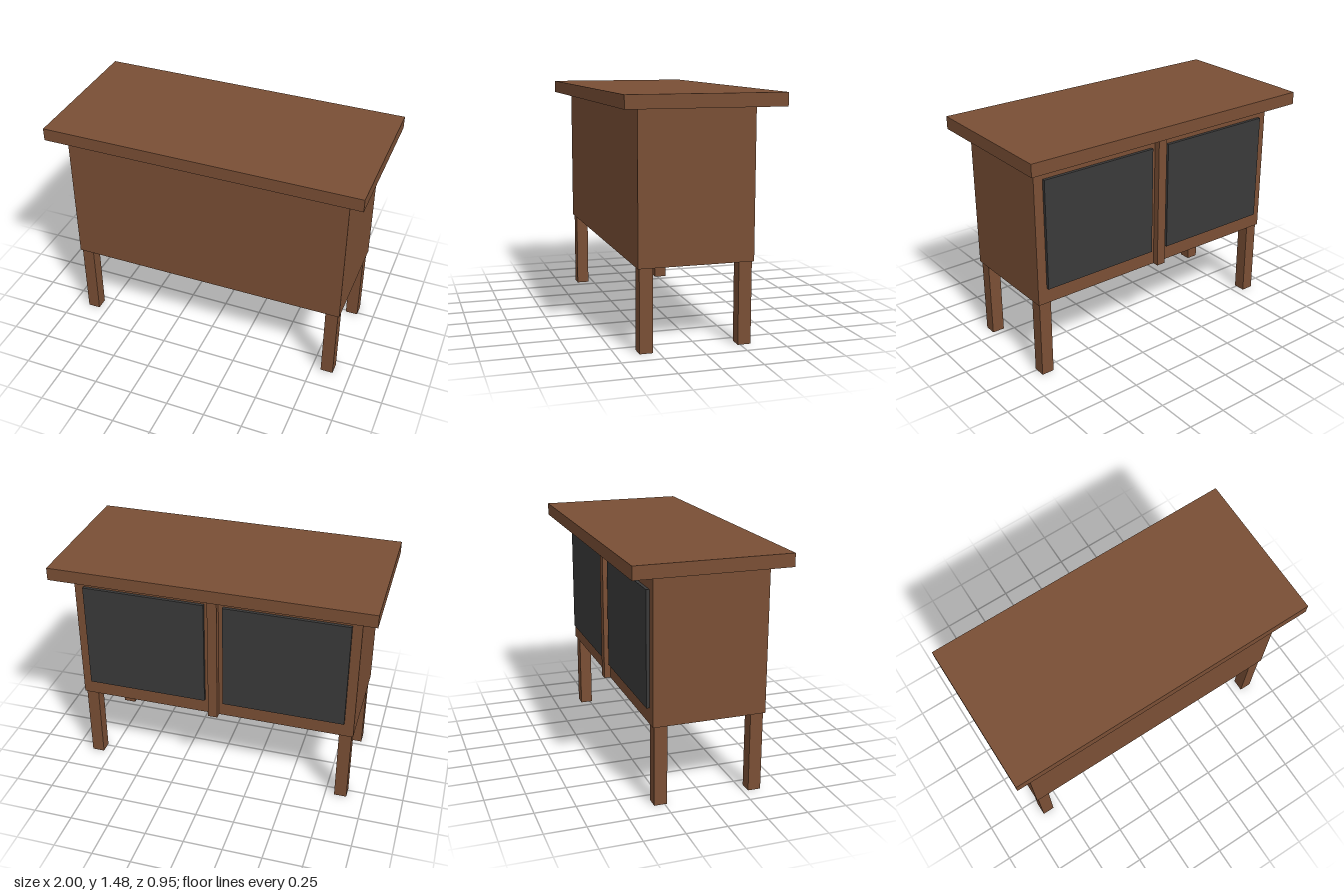
import * as THREE from 'three';

export function createModel() {
  const model = new THREE.Group();
  model.name = 'sideboard';
  const wood = new THREE.MeshStandardMaterial({ color: 0x7a4f35 });
  wood.name = 'brown wood';
  const dark = new THREE.MeshStandardMaterial({ color: 0x3a3a3a });
  dark.name = 'dark panel';

  // Box from its size and centre
  const box = (name, material, [w, h, d], [x, y, z]) => {
    const mesh = new THREE.Mesh(new THREE.BoxGeometry(w, h, d), material);
    mesh.name = name;
    mesh.position.set(x, y, z);
    model.add(mesh);
  };

  // Cabinet and overhanging top
  box('top', wood, [2, 0.08, 0.95], [0, 1.44, 0]);
  box('cabinet', wood, [1.8, 0.9, 0.7], [0, 0.95, 0.025]);

  // Upright strip between the two back panels
  box('divider', wood, [0.06, 0.9, 0.04], [0, 0.95, -0.345]);

  // Panels and legs on both sides
  for (const [side, s] of [['left', 1], ['right', -1]]) {
    box(`${side}Panel`, dark, [0.78, 0.7, 0.02], [s * 0.45, 0.95, -0.335]);
    box(`${side}FrontLeg`, wood, [0.08, 0.5, 0.08], [s * 0.85, 0.25, 0.325]);
    box(`${side}BackLeg`, wood, [0.08, 0.5, 0.08], [s * 0.85, 0.25, -0.275]);
  }
  return model;
}
